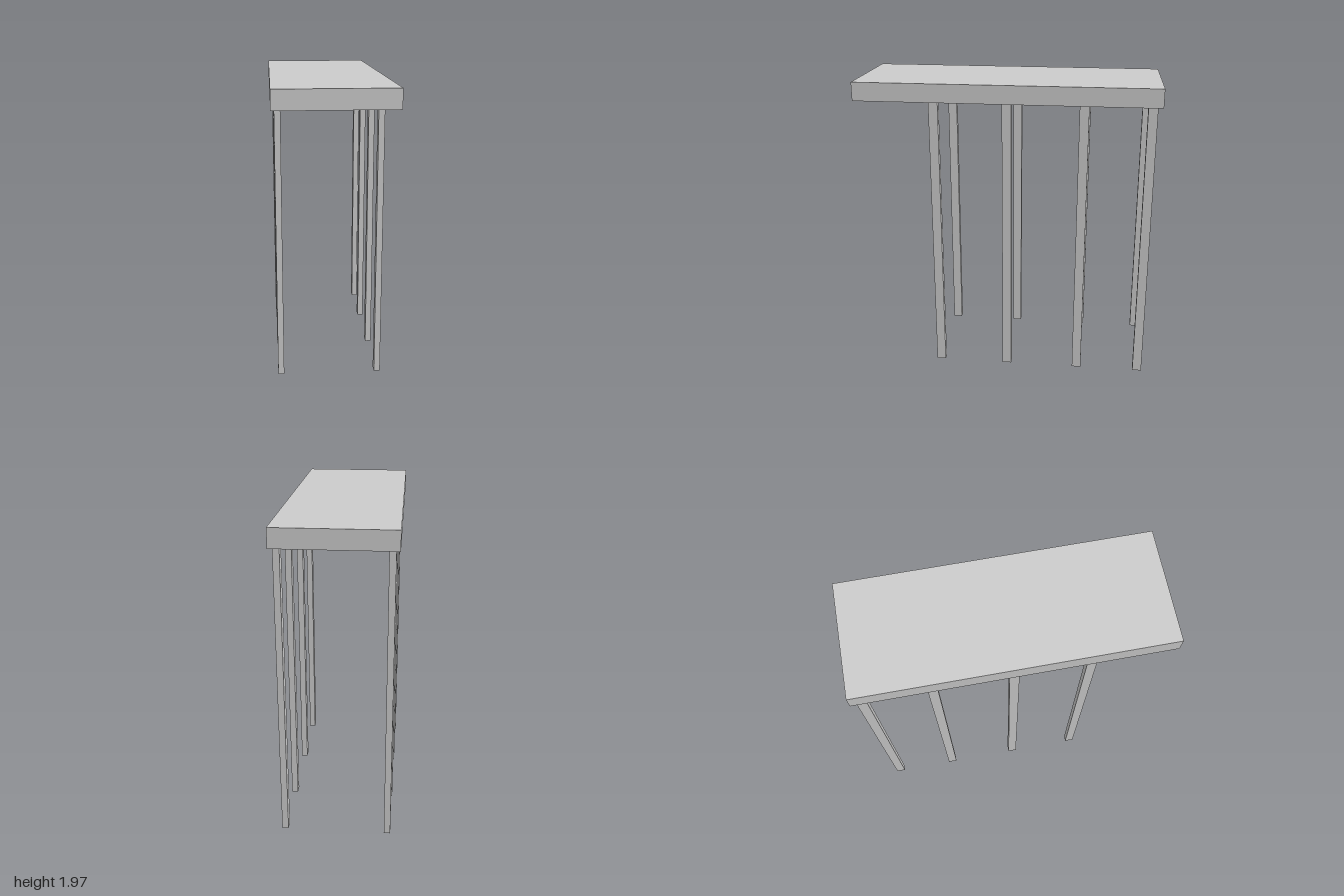
import * as THREE from 'three';

const TOP = 1.97, RIM = 1.85;

// Four thin walls around a rectangle, open at the bottom, optionally closed on top
function openBox(name, w, h, d, capped, material) {
  const geometry = new THREE.BoxGeometry(w, h, d);
  // box face order: +x, -x, +y, -y, +z, -z (six indices each)
  const index = Array.from(geometry.index.array);
  const keep = capped ? [0, 1, 2, 4, 5] : [0, 1, 4, 5];
  geometry.setIndex(keep.flatMap((f) => index.slice(f * 6, f * 6 + 6)));
  geometry.clearGroups();
  const mesh = new THREE.Mesh(geometry, material);
  mesh.name = name;
  return mesh;
}

export function createModel() {
  const model = new THREE.Group();
  model.name = 'canopy';
  const material = new THREE.MeshStandardMaterial({
    color: 0xcccccc, flatShading: true, side: THREE.DoubleSide,
  });

  // Roof: hollow shell with a flat top and a shallow rim
  const roof = openBox('roof', 0.736, TOP - RIM, 1.956, true, material);
  roof.position.y = (TOP + RIM) / 2;
  model.add(roof);

  // Posts: two mirrored rows, reaching up to the underside of the roof
  const posts = new THREE.Group();
  posts.name = 'posts';
  for (const z of [0.461, -0.009, -0.497, -0.917]) {
    for (const side of [-1, 1]) {
      const post = openBox(side > 0 ? 'leftPost' : 'rightPost', 0.04, TOP, 0.06, false, material);
      post.position.set(side * 0.325, TOP / 2, z);
      posts.add(post);
    }
  }
  model.add(posts);

  // The whole structure stands slightly turned
  model.rotation.y = 0.0588;
  return model;
}
